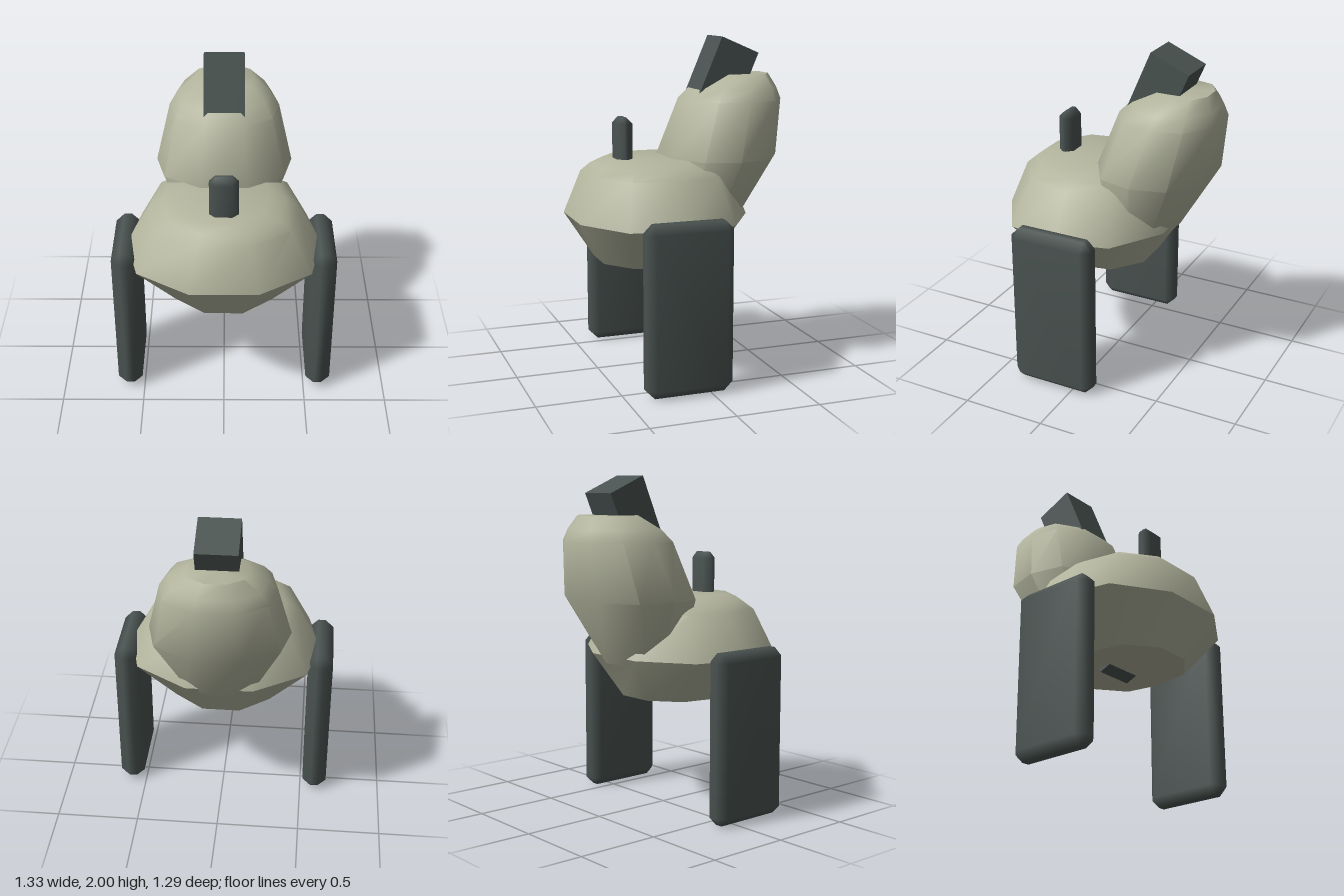
import * as THREE from 'three';
import { toCreasedNormals, mergeVertices } from 'three/addons/utils/BufferGeometryUtils.js';
import { ConvexGeometry } from 'three/addons/geometries/ConvexGeometry.js';

const stone = new THREE.MeshStandardMaterial({ color: 0xb2b49d });
const dark = new THREE.MeshStandardMaterial({ color: 0x4a5351 });

// Ten-sided unit outline (x, z), built by mirroring one quarter
const quarter = [[1, 0], [0.87, 0.62], [0.34, 1]];
const half = [...quarter, [-0.34, 1], [-0.87, 0.62]];
const outline = [...half, ...half.map(([x, z]) => [-x, -z])];

// Closed shell through horizontal rings: [y, x radius, z radius, z centre]
function loft(rings) {
  const n = outline.length;
  const pos = [];
  const index = [];
  for (const [y, rx, rz, cz] of rings) {
    for (const [x, z] of outline) pos.push(x * rx, y, cz + z * rz);
  }
  const bottom = rings.length * n;
  const last = rings[rings.length - 1];
  pos.push(0, rings[0][0], rings[0][3], 0, last[0], last[3]);
  for (let j = 0; j < n; j++) {
    const k = (j + 1) % n;
    for (let i = 0; i < rings.length - 1; i++) {
      const a = i * n + j, b = i * n + k;
      index.push(a, a + n, b, b, a + n, b + n);
    }
    const top = (rings.length - 1) * n;
    index.push(bottom, j, k, bottom + 1, top + k, top + j);
  }
  const g = new THREE.BufferGeometry();
  g.setAttribute('position', new THREE.Float32BufferAttribute(pos, 3));
  g.setIndex(index);
  return toCreasedNormals(g, 0.8);
}

// Box with every edge chamfered, smooth shaded
function chamferBox(w, h, d, c) {
  const pts = [];
  for (const x of [-1, 1]) for (const y of [-1, 1]) for (const z of [-1, 1]) {
    for (let face = 0; face < 3; face++) {
      const inset = [c, c, c];
      inset[face] = 0;
      pts.push(new THREE.Vector3(
        x * (w / 2 - inset[0]), y * (h / 2 - inset[1]), z * (d / 2 - inset[2])));
    }
  }
  const g = new ConvexGeometry(pts);
  g.deleteAttribute('normal');
  const merged = mergeVertices(g);
  merged.computeVertexNormals();
  return merged;
}

export function createModel() {
  const model = new THREE.Group();
  const add = (name, geometry, material, x, y, z) => {
    const mesh = new THREE.Mesh(geometry, material);
    mesh.name = name;
    mesh.position.set(x, y, z);
    model.add(mesh);
    return mesh;
  };

  // Broad lower body with a sharp rim and bevelled top
  add('body', loft([
    [0.68, 0.33, 0.353, 0.13],
    [0.945, 0.585, 0.515, 0.13],
    [1.205, 0.44, 0.42, 0.13],
    [1.255, 0.365, 0.365, 0.13],
    [1.29, 0.27, 0.3, 0.13],
  ]), stone, 0, 0, 0);

  // Rear hump leaning backwards
  add('hump', loft([
    [0.9, 0.23, 0.2, -0.18],
    [1.29, 0.412, 0.335, -0.267],
    [1.625, 0.33, 0.291, -0.352],
    [1.695, 0.28, 0.245, -0.375],
    [1.775, 0.18, 0.16, -0.42],
  ]), stone, 0, 0, 0);

  // Leaning post that runs through hump and body
  const post = add('post', new THREE.BoxGeometry(0.24, 1.36, 0.255), dark, 0, 1.325, -0.107);
  post.rotation.x = -0.402;

  // Small upright peg at the front
  add('peg', chamferBox(0.17, 0.435, 0.095, 0.036), dark, 0, 1.3175, 0.33);

  // Slab legs on both sides
  const leg = chamferBox(0.15, 1.005, 0.525, 0.052);
  for (const [side, name] of [[1, 'leftLeg'], [-1, 'rightLeg']]) {
    add(name, leg, dark, side * 0.59, 0.5025, 0.1275);
  }

  return model;
}
